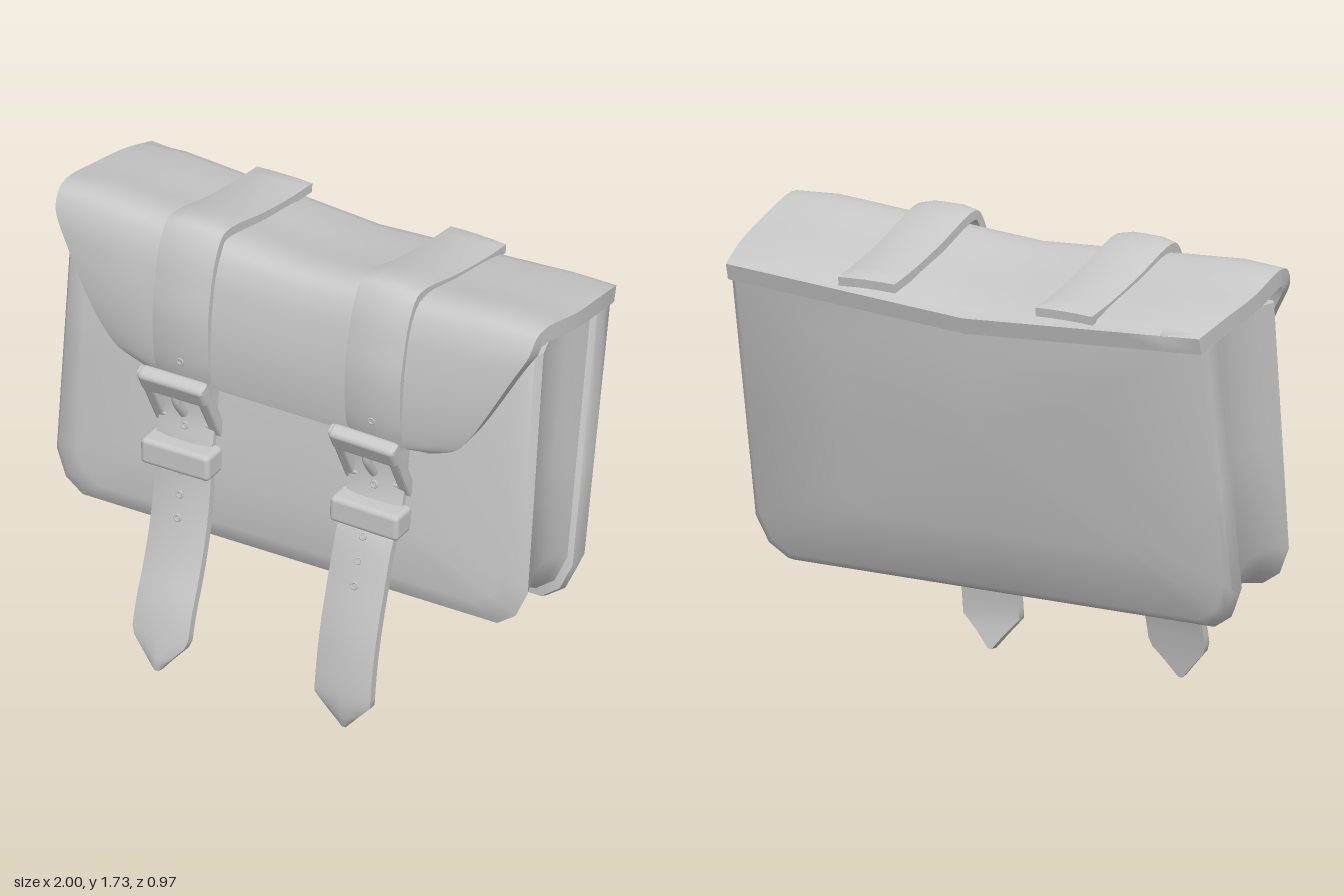
import * as THREE from 'three';
import { toCreasedNormals } from 'three/addons/utils/BufferGeometryUtils.js';
import { RoundedBoxGeometry } from 'three/addons/geometries/RoundedBoxGeometry.js';

const leather = new THREE.MeshStandardMaterial({ color: 0xc8c8c8 });
leather.name = 'grey leather';

function part(name, geometry, parent) {
  const mesh = new THREE.Mesh(geometry, leather);
  mesh.name = name;
  parent.add(mesh);
  return mesh;
}

// Skin a list of equal rings of [x, y, z] points and close both ends
function loft(rings, crease) {
  const L = rings[0].length, pos = rings.flat(2), idx = [];
  const last = (rings.length - 1) * L;
  for (let i = 0; i < rings.length - 1; i++) {
    for (let j = 0; j < L; j++) {
      const k = (j + 1) % L, a = i * L, b = a + L;
      idx.push(a + j, a + k, b + k, a + j, b + k, b + j);
    }
  }
  for (let j = 0; j < L / 2 - 1; j++) {
    const a = j, b = j + 1, c = L - 2 - j, d = L - 1 - j;
    idx.push(a, d, c, a, c, b);
    idx.push(last + a, last + b, last + c, last + a, last + c, last + d);
  }
  const g = new THREE.BufferGeometry();
  g.setAttribute('position', new THREE.Float32BufferAttribute(pos, 3));
  g.setIndex(idx);
  return toCreasedNormals(g, crease);
}

// Thick bent sheet: path points are [z, y, halfWidth], sag(x, y) lowers y
function sheet(path, thick, columns, steps, sag, widthAt = (p) => p.x) {
  const curve = new THREE.CatmullRomCurve3(path.map(([z, y, w]) => new THREE.Vector3(w, y, z)));
  const rings = [];
  for (let i = 0; i <= steps; i++) {
    const t = i / steps, p = curve.getPoint(t), d = curve.getTangent(t);
    const len = Math.hypot(d.y, d.z), nz = -d.y / len, ny = d.z / len;
    const w = widthAt(p), outer = [], inner = [];
    for (let j = 0; j <= columns; j++) {
      const u = 1 - 2 * j / columns, x = w * u, y = p.y - sag(x, p.y);
      const onRim = j === 0 || j === columns || i === 0 || i === steps;
      const edge = onRim ? thick * 0.25 : 0; // softened rim
      outer.push([x, y - ny * edge, p.z - nz * edge]);
      inner.push([x, y - ny * thick, p.z - nz * thick]);
    }
    rings.push([...outer, ...inner.reverse()]);
  }
  return loft(rings, 1.0);
}

// Pouch: layers from back to front, with the side gusset pinched in
function bodyGeometry() {
  const layers = [ // depth, half width, bottom, scale, bulge
    [0, 0.945, 0.45, 0, -0.03], [0, 0.945, 0.45, 0.6, -0.02], [0, 0.945, 0.45, 1, 0],
    [0.03, 0.968, 0.43, 1, 0], [0.13, 0.972, 0.41, 1, 0], [0.2, 0.965, 0.42, 1, 0],
    [0.22, 0.945, 0.45, 1, 0],
    [0.33, 0.94, 0.475, 1, 0], [0.5, 0.925, 0.49, 1, 0], [0.75, 0.94, 0.5, 1, 0],
    [0.95, 0.975, 0.48, 1, 0], [1, 0.955, 0.515, 1, 0],
    [1, 0.955, 0.515, 0.92, 0.015], [1, 0.955, 0.515, 0.55, 0.035], [1, 0.955, 0.515, 0, 0.04],
  ];
  const rings = layers.map(([t, w, b, s, bulge]) => {
    const half = [[0.88, 0], [0.955, 0.05], [1, 0.15], [1, 0.55], [1, 1.575 - b]];
    const right = half.map(([k, h]) => [w * k, b + h]);
    const left = right.map(([x, y]) => [-x, y]).reverse();
    return [[0, b], ...right, [0, 1.49], ...left].map(([x, y]) => {
      const X = x * s, Y = 1.02 + (y - 1.02) * s;
      const back = -0.19 - 0.19 * (Y - 0.42), front = 0.24 - 0.112 * (Y - 0.48);
      return [X, Y, back + (front - back) * t + bulge];
    });
  });
  return loft(rings, 0.9);
}

// Buckle frame, cross bar and prong
function buckle(parent) {
  const g = new THREE.Group();
  g.name = 'buckle';
  const rect = (T, w, h) => {
    const s = new T();
    s.moveTo(-w, -h); s.lineTo(w, -h); s.lineTo(w, h); s.lineTo(-w, h); s.closePath();
    return s;
  };
  const shape = rect(THREE.Shape, 0.127, 0.135);
  shape.holes.push(rect(THREE.Path, 0.1, 0.1));
  const frame = new THREE.ExtrudeGeometry(shape, {
    depth: 0.025, bevelEnabled: true, bevelSize: 0.01, bevelThickness: 0.01, bevelSegments: 2,
  });
  part('buckleFrame', frame, g).position.z = -0.012;
  part('buckleBar', new RoundedBoxGeometry(0.275, 0.1, 0.06, 2, 0.02), g).position.set(0, 0.1, 0.003);
  const prong = new THREE.CatmullRomCurve3([
    new THREE.Vector3(0, 0.07, 0.015), new THREE.Vector3(0, 0.03, 0.026), new THREE.Vector3(0, -0.06, 0.015),
  ]);
  part('buckleProng', new THREE.TubeGeometry(prong, 8, 0.016, 8), g);
  g.position.set(0, 1.04, 0.275);
  g.rotation.x = 0.48;
  parent.add(g);
}

// One closing strap with buckle, keeper and punched holes
function strap(name, x, lean, tail, tipY, parent) {
  const g = new THREE.Group();
  g.name = name;
  g.position.x = x;
  g.rotation.z = lean;
  const path = [
    [-0.45, 1.615], [-0.3, 1.635], [-0.1, 1.675], [0.12, 1.73], [0.185, 1.722], [0.24, 1.645],
    [0.275, 1.52], [0.295, 1.39], [0.285, 1.2], [0.255, 1.08], [0.25, 0.97], [0.275, 0.85], ...tail,
  ].map(([z, y]) => [z, y, 0.115]);
  const width = (p) => Math.min(0.115, 0.008 + Math.max(0, p.y - tipY) * 0.85);
  part('strapBand', sheet(path, 0.045, 4, 64, (u) => 0.25 * u * u, width), g);
  buckle(g);
  part('strapKeeper', new RoundedBoxGeometry(0.285, 0.105, 0.11, 2, 0.02), g).position.set(0, 0.82, 0.28);
  // Rims of the punched holes, set at the height where the band passes
  for (const y of [1.21, 0.93, 0.75, 0.66, 0.57]) {
    const i = path.findIndex((p, n) => n > 5 && p[1] <= y), a = path[i - 1], b = path[i];
    const z = a[0] + (b[0] - a[0]) * (a[1] - y) / (a[1] - b[1]);
    const ring = part('strapHole', new THREE.TorusGeometry(0.012, 0.005, 6, 10), g);
    ring.position.set(0, y, z);
    ring.rotation.x = -Math.atan2(b[0] - a[0], a[1] - b[1]);
  }
  parent.add(g);
}

export function createModel() {
  const model = new THREE.Group();
  model.name = 'satchel';
  const bag = new THREE.Group();
  bag.name = 'bag';
  bag.rotation.y = -0.045;
  model.add(bag);

  part('pouch', bodyGeometry(), bag);

  // Flap folding over the top and down the front, sagging in the middle
  const flap = [
    [-0.445, 1.6, 0.962], [-0.3, 1.638, 0.985], [-0.1, 1.675, 1.0], [0.1, 1.718, 0.995],
    [0.175, 1.7, 0.99], [0.22, 1.63, 0.98], [0.25, 1.5, 0.91], [0.265, 1.36, 0.835],
    [0.267, 1.24, 0.765], [0.262, 1.16, 0.70], [0.255, 1.105, 0.58],
  ];
  const sag = (x, y) => 0.065 * (1 - Math.abs(x)) * THREE.MathUtils.smoothstep(y, 1.2, 1.6);
  part('flap', sheet(flap, 0.085, 12, 44, sag), bag);

  strap('rightStrap', -0.407, 0.006, [[0.28, 0.75], [0.31, 0.57], [0.36, 0.4], [0.42, 0.25], [0.455, 0.12], [0.475, 0.015]], 0.015, bag);
  strap('leftStrap', 0.354, -0.02, [[0.33, 0.75], [0.385, 0.57], [0.43, 0.4], [0.455, 0.25], [0.465, 0.12], [0.45, 0.003]], 0.003, bag);
  return model;
}
